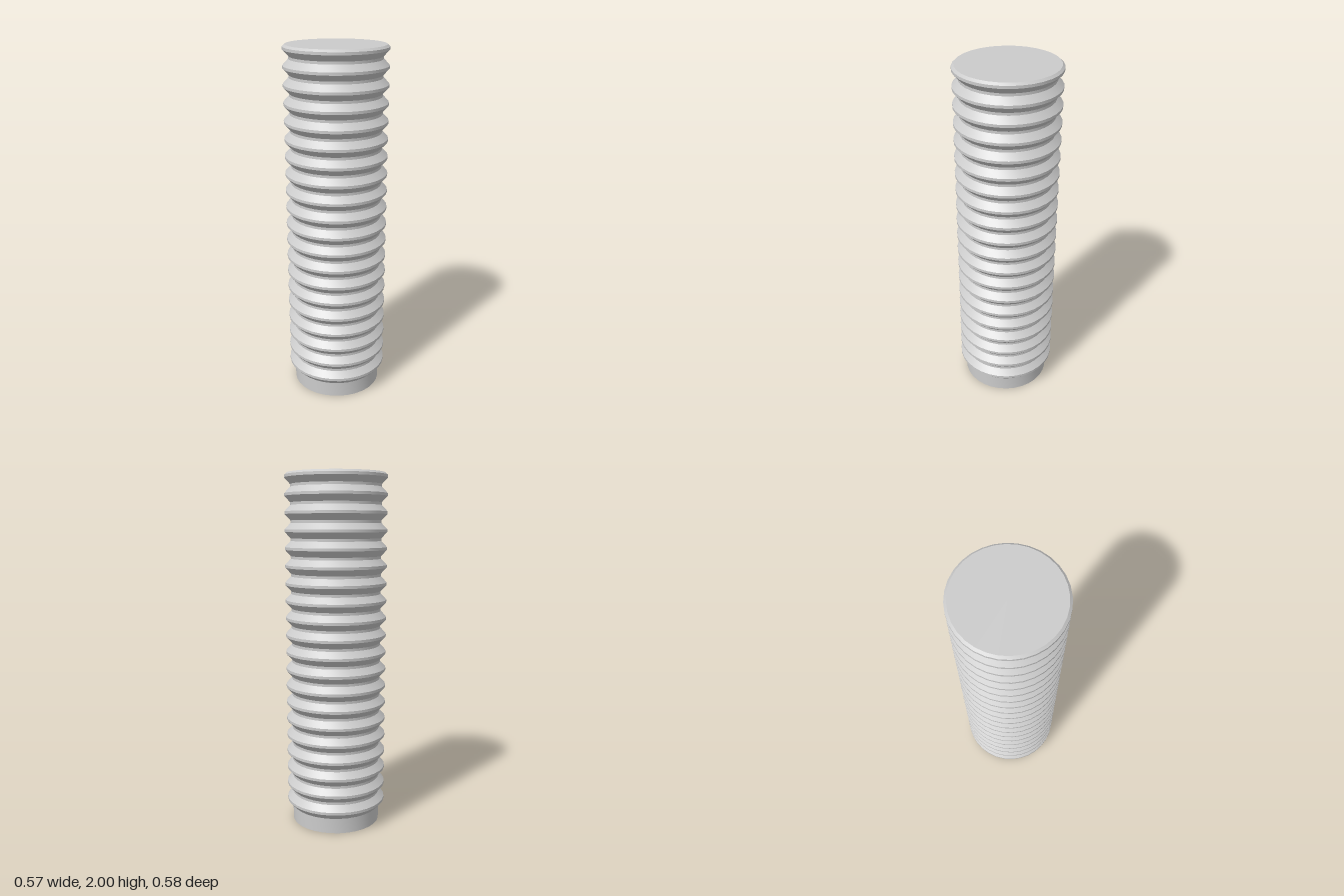
import * as THREE from 'three';
import { toCreasedNormals } from 'three/addons/utils/BufferGeometryUtils.js';

const SIDES = 32;
const RINGS = 20;
const PITCH = 0.0975;
const COLLAR = 0.087;   // height of the plain collar
const VALLEY = 0.253;   // radius between ridges
const RIDGE = 0.285;    // radius on ridges
const CAP = 0.272;      // radius of the closed top

// Slight backward lean of the whole tube
const lean = (y) => 0.007 * (1 - y);

export function createModel() {
  const group = new THREE.Group();
  group.name = 'bellowsTube';
  const material = new THREE.MeshStandardMaterial({ color: 0xcccccc, side: THREE.DoubleSide });

  // Profile: plain collar, then repeated ridges with flat crests and valleys
  const profile = [new THREE.Vector2(VALLEY, 0)];
  for (let i = 0; i < RINGS; i++) {
    const y = COLLAR + i * PITCH;
    profile.push(
      new THREE.Vector2(VALLEY, y),
      new THREE.Vector2(RIDGE, y + 0.034),
      new THREE.Vector2(RIDGE, y + 0.049)
    );
    if (i < RINGS - 1) profile.push(new THREE.Vector2(VALLEY, y + 0.083));
  }
  profile.push(new THREE.Vector2(CAP, 2));

  // Corrugated wall, open at the bottom
  const wall = new THREE.LatheGeometry(profile, SIDES);
  const pos = wall.attributes.position;
  for (let i = 0; i < pos.count; i++) pos.setZ(i, pos.getZ(i) + lean(pos.getY(i)));
  const wallMesh = new THREE.Mesh(toCreasedNormals(wall, 0.45), material);
  wallMesh.name = 'corrugatedWall';
  group.add(wallMesh);

  // Flat lid closing the top
  const lid = new THREE.CircleGeometry(CAP, SIDES).rotateX(-Math.PI / 2);
  const lidMesh = new THREE.Mesh(lid, material);
  lidMesh.name = 'topLid';
  lidMesh.position.set(0, 2, lean(2));
  group.add(lidMesh);

  return group;
}
